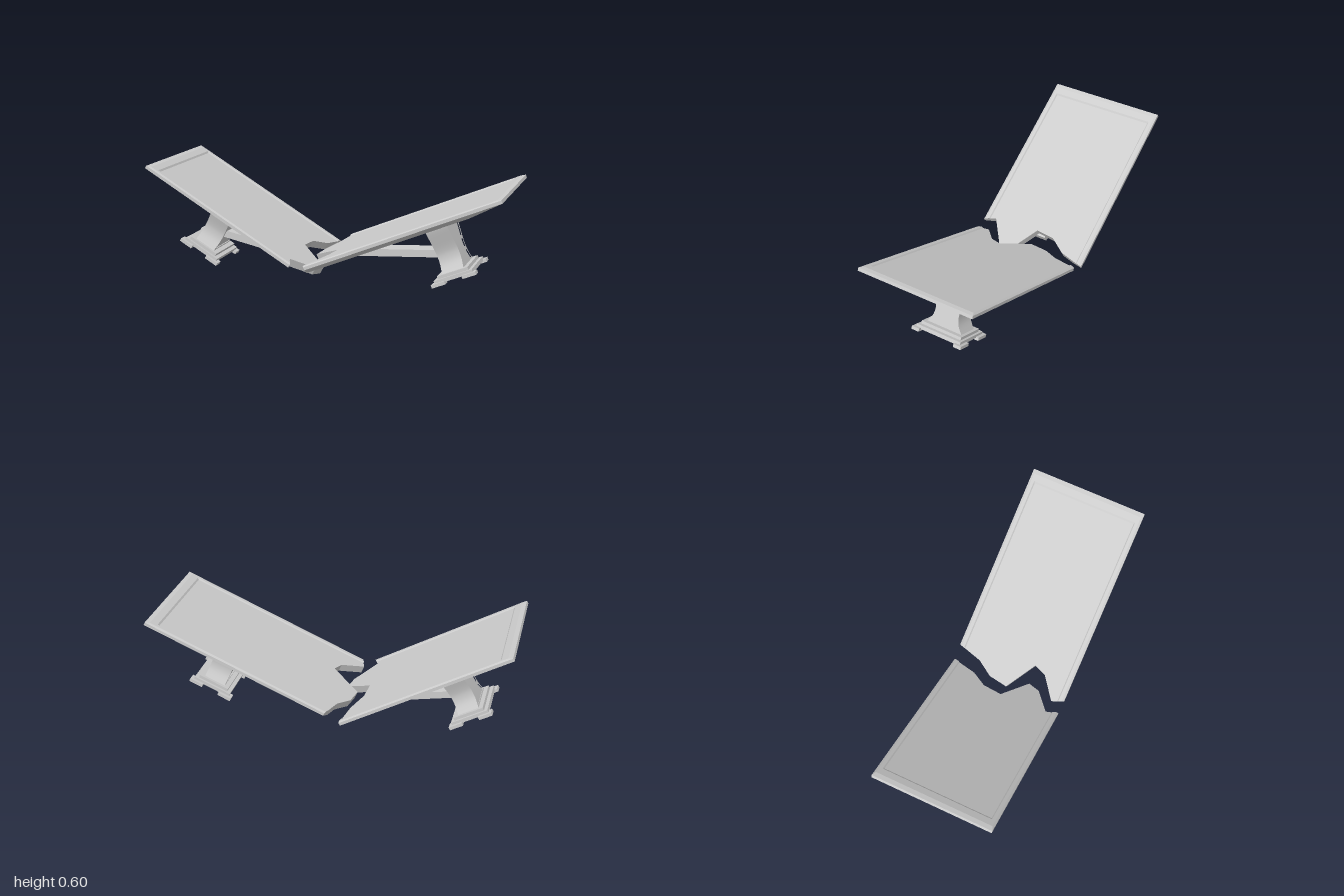
import * as THREE from 'three';
import { toCreasedNormals } from 'three/addons/utils/BufferGeometryUtils.js';

const HALF_W = 0.343;
const material = new THREE.MeshStandardMaterial({ color: 0xcccccc });

// Each half is measured inward from its outer end (s), downward from its top (t) and across (z).
const TOP = [[0, 0.006], [0.012, 0], [0.03, 0], [0.036, 0.006]]; // side inset, depth: rim and sunken panel
const TOP_S = [0, 0.025, 0.065, 0.075];
const UNDER = [[0, 0.023], [0.068, 0.051]];                      // side inset, depth: wide bevel
const UNDER_S = [0, 0.215];
const BREAK_Z = [-HALF_W, -0.2, -0.11, 0, 0.11, 0.18, 0.275, HALF_W];

function interpolate(points, v) {
  if (v <= points[0][0]) return points[0][1];
  for (let i = 1; i < points.length; i++) {
    const [a, p] = points[i - 1], [b, q] = points[i];
    if (v <= b) return p + (q - p) * (v - a) / (b - a);
  }
  return points[points.length - 1][1];
}

function add(group, name, geometry) {
  const mesh = new THREE.Mesh(geometry, material);
  mesh.name = name;
  group.add(mesh);
  return mesh;
}

// Broken slab: top and underside grids, then walls round the edge and along the break
function slabGeometry(dir, breakS) {
  const positions = [];
  const breakLine = BREAK_Z.map((z, i) => [z, breakS[i]]);
  const breakAt = z => interpolate(breakLine, z);
  const put = p => positions.push(-dir * p[0], -p[1], p[2]);
  const sheet = (rows, flip) => {
    const reverse = flip !== (dir < 0);
    const tri = (a, b, c) => (reverse ? [a, c, b] : [a, b, c]).forEach(put);
    for (let i = 0; i < rows.length - 1; i++) {
      for (let j = 0; j < rows[0].length - 1; j++) {
        const a = rows[i][j], b = rows[i + 1][j], c = rows[i + 1][j + 1], d = rows[i][j + 1];
        if (a[2] < 0) { tri(a, b, c); tri(a, c, d); }
        else { tri(a, b, d); tri(b, c, d); }
      }
    }
  };
  const zList = insets => {
    const all = [...BREAK_Z, ...insets.flatMap(e => [e[0] - HALF_W, HALF_W - e[0]])];
    return [...new Set(all.map(z => +z.toFixed(4)))].sort((a, b) => a - b);
  };
  const surface = (profile, stations, flip) => {
    const zs = zList(profile), last = profile.length - 1;
    sheet(zs.map((z, i) => [...stations, breakAt(z)].map((s, j) =>
      [s, profile[Math.min(i, zs.length - 1 - i, j, last)][1], z])), flip);
  };
  surface(TOP, TOP_S, true);
  surface(UNDER, UNDER_S, false);

  const t0 = TOP[0][1], t1 = UNDER[0][1];
  sheet([-HALF_W, HALF_W].map(z => [[0, t0, z], [0, t1, z]]), false);
  sheet(zList([...TOP, ...UNDER]).map(z => {
    const inset = HALF_W - Math.abs(z), s = breakAt(z);
    return [[s, interpolate(TOP, inset), z], [s, interpolate(UNDER, inset), z]];
  }), true);
  for (const side of [-1, 1]) {
    const z = side * HALF_W;
    sheet([0, breakAt(z)].map(s => [[s, t0, z], [s, t1, z]]), side < 0);
  }
  const geometry = new THREE.BufferGeometry();
  geometry.setAttribute('position', new THREE.Float32BufferAttribute(positions, 3));
  geometry.computeVertexNormals();
  return geometry;
}

// Waisted pedestal outline, optionally pierced by three panel openings
function pedestalGeometry(thickness, pierced) {
  const side = new THREE.SplineCurve([[0.116, -0.045], [0.113, -0.075], [0.096, -0.13], [0.079, -0.185],
    [0.073, -0.225], [0.081, -0.27], [0.112, -0.32]].map(p => new THREE.Vector2(...p))).getPoints(20);
  const mirrored = side.map(p => new THREE.Vector2(-p.x, p.y)).reverse();
  const shape = new THREE.Shape([...side, ...mirrored]);
  if (pierced) {
    const panels = [[0.065, 0.1, 0.168, 0.07], [0.188, 0.064, 0.232, 0.06], [0.252, 0.061, 0.305, 0.09]];
    for (const [t0, w0, t1, w1] of panels) {
      shape.holes.push(new THREE.Path([[-w0, -t0], [w0, -t0], [w1, -t1], [-w1, -t1]]
        .map(p => new THREE.Vector2(...p))));
    }
  }
  const geometry = new THREE.ExtrudeGeometry(shape, { depth: thickness, bevelEnabled: false });
  geometry.translate(0, 0, -thickness / 2).rotateY(Math.PI / 2);
  return toCreasedNormals(geometry, 0.5);
}

function tableHalf(name, dir, angle, endX, endY, breakS, braceEnd) {
  const half = new THREE.Group();
  half.name = name;
  add(half, 'tableTop', slabGeometry(dir, breakS));

  // Pedestal with framed panels
  const leg = new THREE.Group();
  leg.name = 'pedestal';
  leg.position.set(-dir * 0.449, 0, 0.006);
  half.add(leg);
  add(leg, 'pedestalFrame', pedestalGeometry(0.126, true));
  add(leg, 'pedestalCore', pedestalGeometry(0.106, false));

  // Stepped base and four foot pads
  const box = (part, w, d, t0, t1, x, z) =>
    add(leg, part, new THREE.BoxGeometry(w, t1 - t0, d)).position.set(x, -(t0 + t1) / 2, z);
  box('baseStep', 0.18, 0.25, 0.314, 0.334, 0, 0);
  box('basePlate', 0.224, 0.276, 0.331, 0.352, 0, 0);
  for (const x of [-1, 1]) for (const z of [-1, 1]) {
    box('footPad', 0.08, 0.046, 0.345, 0.363, x * 0.09, z * 0.132);
  }

  // Sloping brace from the pedestal up to the underside
  const slope = 0.342;
  const low = Math.max(0.046, 0.236 - slope * (braceEnd - 0.5));
  const outline = [[0.5, 0.193], [0.93, 0.046], [braceEnd, 0.046], [braceEnd, low + 0.001], [0.5, 0.236]];
  const brace = new THREE.ExtrudeGeometry(
    new THREE.Shape(outline.map(([s, t]) => new THREE.Vector2(-dir * s, -t))),
    { depth: 0.1, bevelEnabled: false });
  add(half, 'brace', brace.translate(0, 0, -0.044));

  half.position.set(endX, endY, 0);
  half.rotation.z = dir * THREE.MathUtils.degToRad(angle);
  return half;
}

export function createModel() {
  const model = new THREE.Group();
  model.name = 'brokenTable';
  model.add(
    tableHalf('rightHalf', -1, 30, -0.995, 0.616, [1.048, 1.01, 0.947, 0.936, 1.114, 1.09, 0.955, 0.985], 0.95),
    tableHalf('leftHalf', 1, 23, 0.995, 0.57, [1.095, 1.135, 1.194, 1.211, 1.032, 1.059, 1.183, 1.156], 1.055),
  );
  return model;
}
